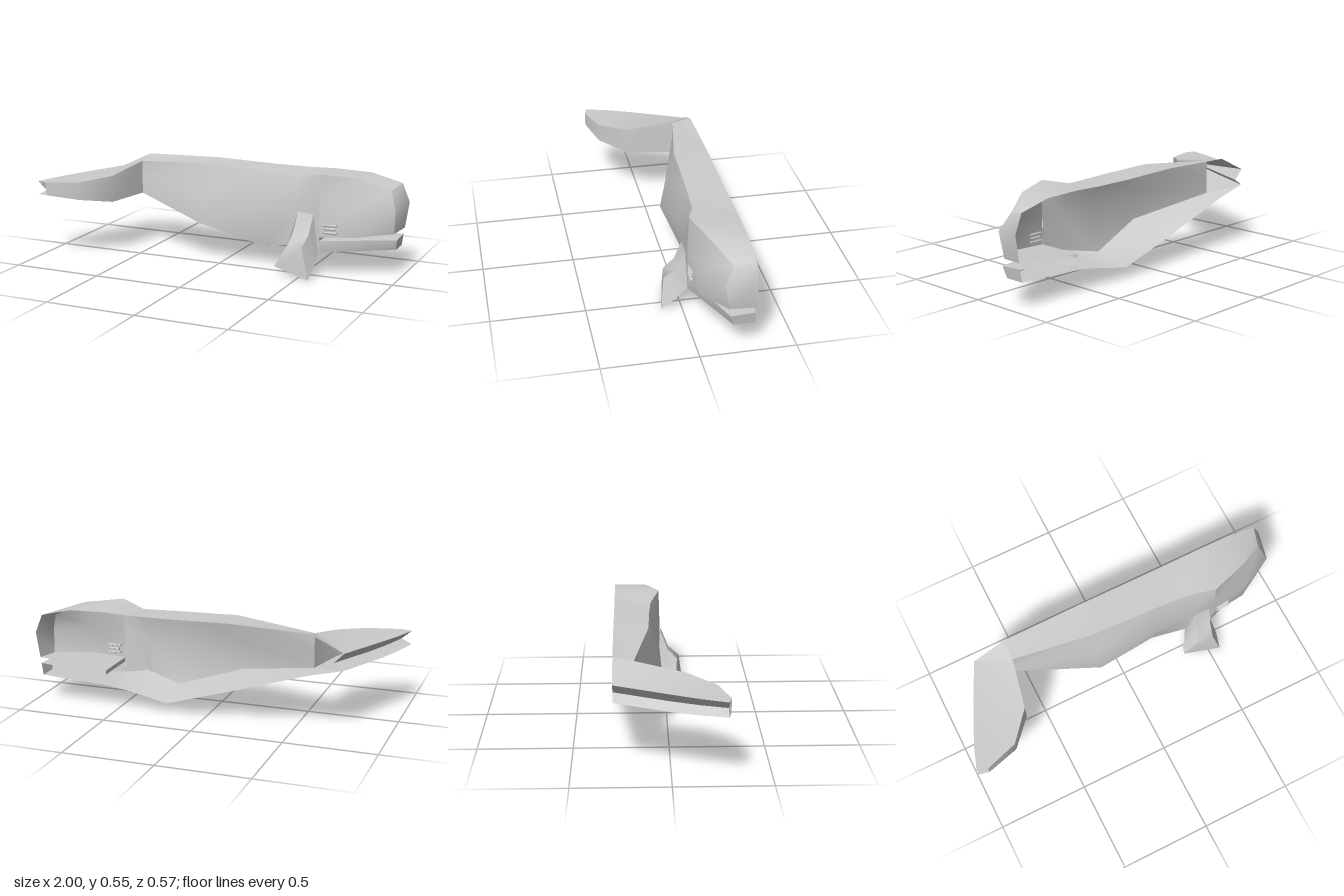
import * as THREE from 'three';

const C = -0.288; // open centre plane of the half body

// Smooth sheet through rows of points
function sheetGeometry(rows) {
  const n = rows[0].length, index = [];
  for (let i = 0; i < rows.length - 1; i++)
    for (let j = 0; j < n - 1; j++) {
      const a = i * n + j, b = a + 1, c = a + n, d = c + 1;
      index.push(a, b, c, b, d, c);
    }
  const geo = new THREE.BufferGeometry();
  geo.setAttribute('position', new THREE.Float32BufferAttribute(rows.flat(2), 3));
  geo.setIndex(index);
  geo.computeVertexNormals();
  return geo;
}

export function createModel() {
  const grey = new THREE.MeshStandardMaterial({ color: 0xcccccc, side: THREE.DoubleSide });
  grey.name = 'pale grey';
  const model = new THREE.Group();
  model.name = 'halfWhale';

  const sheet = (name, rows, parent = model) => {
    const mesh = new THREE.Mesh(sheetGeometry(rows), grey);
    mesh.name = name;
    parent.add(mesh);
  };
  // Lengthwise strips with a sharp edge between neighbours
  const strips = (name, rows) => {
    const group = new THREE.Group();
    group.name = name;
    model.add(group);
    for (let j = 0; j < rows[0].length - 1; j++)
      sheet(name + 'Strip', rows.map(r => [r[j], r[j + 1]]), group);
  };

  // Body: x, centre top y, top edge y z, middle y z, lower edge y z, centre bottom y
  const body = [
    [-0.575, 0.53, 0.505, -0.18, 0.41, -0.18, 0.315, -0.18, 0.305],
    [-0.13, 0.543, 0.54, -0.10, 0.38, -0.05, 0.215, -0.02, 0.165],
    [0.22, 0.535, 0.53, -0.09, 0.33, -0.035, 0.11, -0.085, 0.06],
    [0.43, 0.535, 0.52, -0.08, 0.33, -0.03, 0.15, -0.03, 0.105],
    [0.575, 0.54, 0.555, -0.03, 0.38, -0.025, 0.125, -0.03, 0.125]
  ];
  // Head: same, down to the upper lip
  const head = [
    [0.575, 0.54, 0.555, -0.03, 0.38, -0.025, 0.21, -0.025, 0.21],
    [0.78, 0.535, 0.535, -0.10, 0.38, -0.045, 0.225, -0.045, 0.23]
  ];
  const top = s => [[s[0], s[1], C], [s[0], s[2], s[3]]];
  const side = s => [[s[0], s[2], s[3]], [s[0], s[4], s[5]], [s[0], s[6], s[7]]];
  const under = s => [[s[0], s[6], s[7]], [s[0], s[8], C]];
  const brow = [0.925, 0.47, -0.18], cheek = [0.965, 0.375, -0.13], lip = [0.955, 0.238, -0.157];
  const noseTop = [0.955, 0.492, C], nose = [0.997, 0.39, C], noseLow = [0.975, 0.246, C];

  sheet('back', [...body.map(top), top(head[1]), [noseTop, brow]]);
  sheet('flank', body.map(side));
  sheet('belly', body.map(under));
  sheet('headSide', [...head.map(side), [brow, cheek, lip]]);
  sheet('snout', [[brow, cheek, lip], [noseTop, nose, noseLow]]);
  sheet('upperMouth', [...head.map(under), [lip, noseLow]]);

  // Lower jaw
  const jaw = [
    [[0.575, 0.187, C], [0.575, 0.187, -0.03], [0.575, 0.125, -0.03], [0.575, 0.125, C]],
    [[0.97, 0.212, C], [0.97, 0.205, -0.16], [0.96, 0.145, -0.18], [0.96, 0.145, C]]
  ];
  strips('lowerJaw', jaw);
  sheet('jawTip', [[jaw[1][1], jaw[1][2]], [jaw[1][0], jaw[1][3]]]);
  sheet('mouthBack', [[[0.575, 0.21, -0.028], [0.575, 0.187, -0.03]], [[0.575, 0.21, C], [0.575, 0.187, C]]]);

  // Tail fluke: leading x z, top and bottom y, trailing x z, top and bottom y
  const fluke = [
    [-0.575, -0.18, 0.505, 0.315, -0.76, C, 0.442, 0.35],
    [-0.63, 0.08, 0.46, 0.31, -0.895, 0.0, 0.44, 0.35],
    [-0.76, 0.23, 0.441, 0.34, -0.955, 0.14, 0.438, 0.355],
    [-0.94, 0.286, 0.436, 0.362, -1, 0.272, 0.436, 0.36]
  ].map(([lx, lz, lt, lb, tx, tz, tt, tb]) => {
    const notch = [tx + 0.055, (tt + tb) / 2 - 0.01, tz];
    return [notch, [tx, tb, tz], [lx, lb, lz], [lx, lt, lz], [tx, tt, tz], notch];
  });
  strips('tailFluke', fluke);
  const tip = fluke[3];
  sheet('flukeTip', [[tip[1], tip[0], tip[4]], [tip[2], tip[0], tip[3]]]);
  // Root of the fluke, joining it to the back and belly
  const root = fluke[0];
  sheet('tailRootTop', [[root[4], root[3]], [[-0.575, 0.53, C], root[3]]]);
  sheet('tailRootBottom', [[root[2], root[1]], [root[2], [-0.575, 0.305, C]]]);

  // Side flipper: rings of front upper, rear upper, rear lower, front lower
  const flipper = [
    [[0.455, 0.342, -0.02], [0.545, 0.335, -0.02], [0.57, 0.125, -0.03], [0.41, 0.13, -0.04]],
    [[0.445, 0.235, 0.02], [0.533, 0.225, 0.025], [0.573, 0.1, 0.0], [0.39, 0.1, 0.0]],
    [[0.435, 0.176, 0.075], [0.52, 0.172, 0.088], [0.575, 0.065, 0.04], [0.365, 0.065, 0.03]],
    [[0.355, 0.046, 0.065], [0.565, 0.003, 0.111], [0.565, 0.003, 0.111], [0.355, 0.046, 0.065]]
  ].map(r => [r[0], r[3], r[2], r[1], r[0]].reverse());
  strips('flipper', flipper);

  // Eye and its lids: thin slanted slats
  for (const [name, y, w] of [['upperEyelid', 0.28, 0.075], ['eye', 0.26, 0.06], ['lowerEyelid', 0.24, 0.075]]) {
    const slat = new THREE.Mesh(new THREE.BoxGeometry(w, 0.009, 0.02), grey);
    slat.name = name;
    slat.position.set(0.635, y, -0.032);
    slat.rotation.x = 0.4;
    model.add(slat);
  }
  return model;
}
